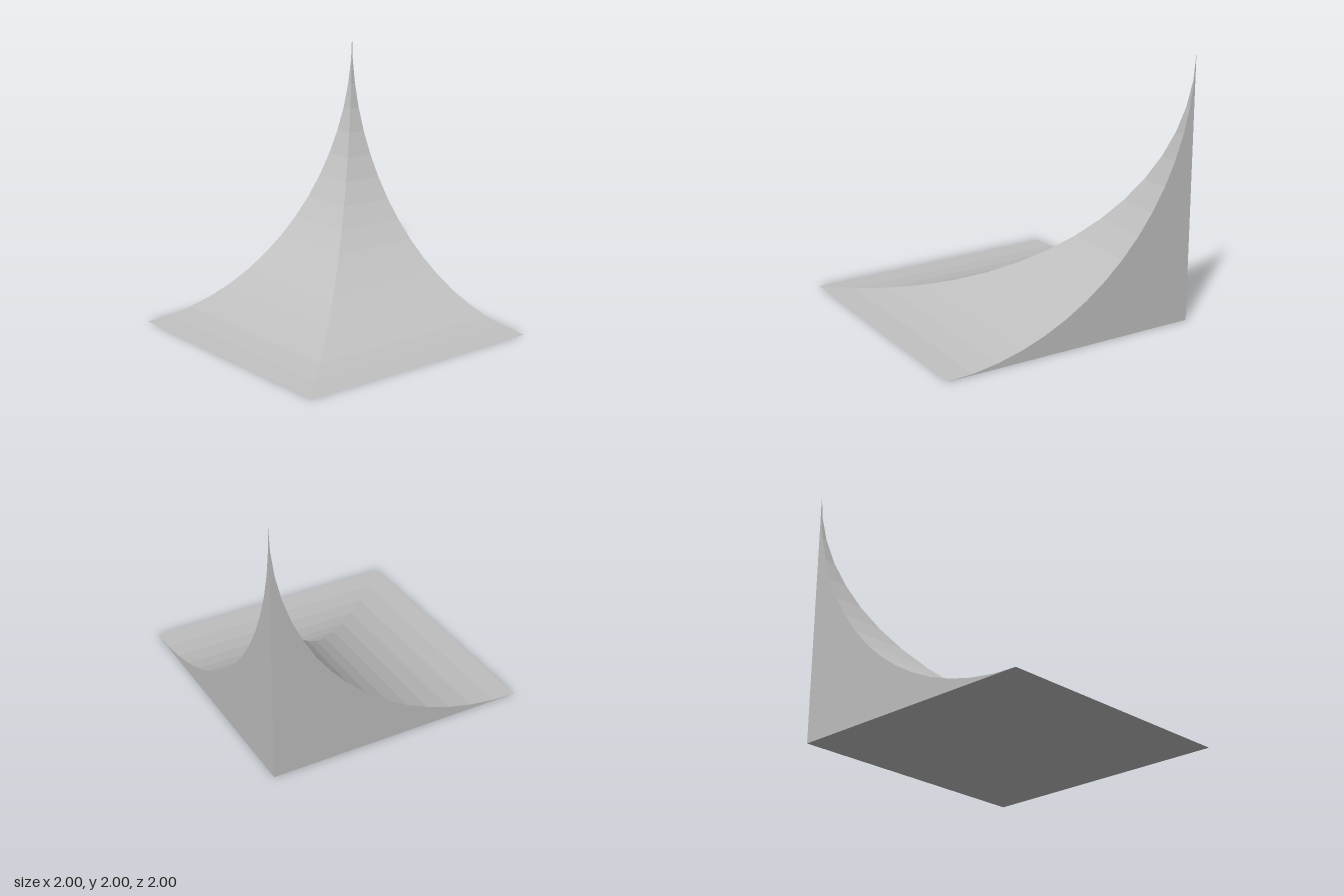
import * as THREE from 'three';

const STEPS = 16;
const RADIUS = 2;

// Square cross-section anchored at the back corner (-1, -1); its side follows a quarter arc.
function section(i) {
  const t = (i / STEPS) * Math.PI / 2;
  const y = RADIUS * (1 - Math.cos(t));
  const s = i === STEPS ? -1 : 1 - RADIUS * Math.sin(t);
  return [[-1, y, -1], [-1, y, s], [s, y, s], [s, y, -1]];
}

// Flat-shaded mesh from a list of triangles.
function facetMesh(name, triangles, material) {
  const geometry = new THREE.BufferGeometry();
  geometry.setAttribute('position', new THREE.Float32BufferAttribute(triangles.flat(2), 3));
  geometry.computeVertexNormals();
  const mesh = new THREE.Mesh(geometry, material);
  mesh.name = name;
  return mesh;
}

export function createModel() {
  const group = new THREE.Group();
  group.name = 'curvedCornerSpire';
  const grey = new THREE.MeshStandardMaterial({ color: 0xc0c0c0 });
  grey.name = 'plain grey';

  const rings = Array.from({ length: STEPS + 1 }, (_, i) => section(i));

  // Two upright back walls and two concave slopes, one strip per side of the section
  ['leftWall', 'frontSlope', 'sideSlope', 'backWall'].forEach((name, k) => {
    const next = (k + 1) % 4;
    const triangles = [];
    for (let i = 0; i < STEPS; i++) {
      const low = rings[i], high = rings[i + 1];
      triangles.push([low[k], low[next], high[next]]);
      // The last strip closes to a point, so it needs one triangle only
      if (i < STEPS - 1) triangles.push([low[k], high[next], high[k]]);
    }
    group.add(facetMesh(name, triangles, grey));
  });

  // Flat underside
  const [a, b, c, d] = rings[0];
  group.add(facetMesh('base', [[a, d, c], [a, c, b]], grey));

  return group;
}
